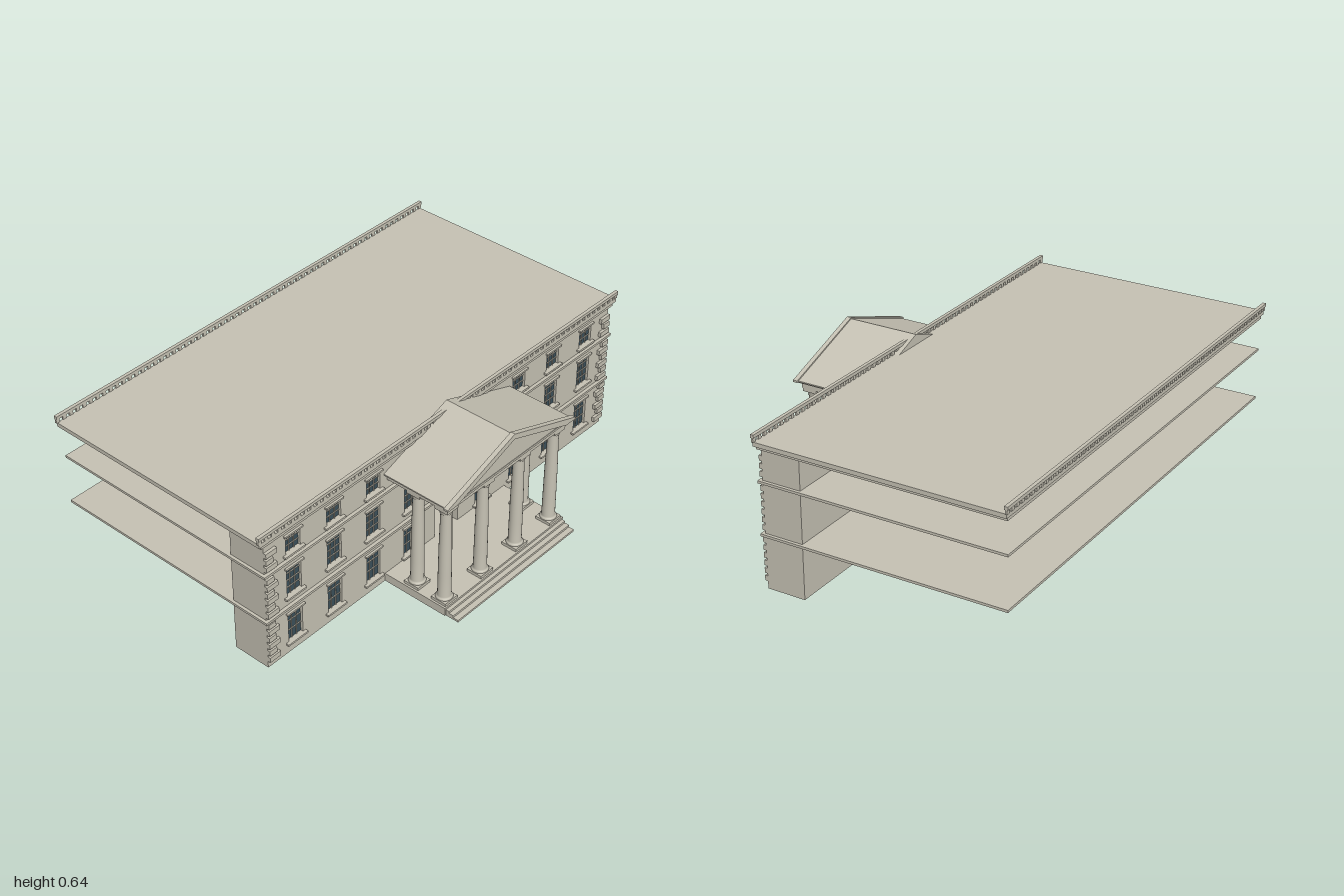
import * as THREE from 'three';

const stone = new THREE.MeshStandardMaterial({ color: 0xc6c2b4 });
stone.name = 'stone';
const glass = new THREE.MeshStandardMaterial({ color: 0x3b505a });
glass.name = 'windowGlass';

const rectPath = (P, x0, x1, y0, y1) => {
  const p = new P();
  p.moveTo(x0, y0); p.lineTo(x1, y0); p.lineTo(x1, y1); p.lineTo(x0, y1); p.closePath();
  return p;
};

export function createModel() {
  const root = new THREE.Group();
  root.name = 'columnedHall';

  const add = (name, geo, mat = stone, parent = root) => {
    const m = new THREE.Mesh(geo, mat);
    m.name = name;
    parent.add(m);
    return m;
  };
  // Box given by its minimum and maximum on each axis
  const box = (name, x0, x1, y0, y1, z0, z1, mat = stone, parent = root) => {
    const m = add(name, new THREE.BoxGeometry(x1 - x0, y1 - y0, z1 - z0), mat, parent);
    m.position.set((x0 + x1) / 2, (y0 + y1) / 2, (z0 + z1) / 2);
    return m;
  };
  const extrude = (name, shape, z0, z1) => {
    const m = add(name, new THREE.ExtrudeGeometry(shape, { depth: z1 - z0, bevelEnabled: false }));
    m.position.z = z0;
    return m;
  };

  // Window grid: nine bays on three floors, with the door in the middle of the lowest
  const HALF = 0.036;
  const floors = [
    { y0: 0.05, y1: 0.18, bars: 3 },
    { y0: 0.262, y1: 0.388, bars: 4 },
    { y0: 0.455, y1: 0.535, bars: 3 },
  ];
  const windows = [];
  floors.forEach((f, row) => {
    for (let i = -4; i <= 4; i++) {
      if (row === 0 && i === 0) continue;
      windows.push({ x: i * 0.2055, ...f });
    }
  });

  // Wall core with the doorway, and the facing with window openings
  const core = rectPath(THREE.Shape, -0.965, 0.965, 0, 0.565);
  core.holes.push(rectPath(THREE.Path, -0.066, 0.066, 0.035, 0.18));
  extrude('wallCore', core, 0.17, 0.315);
  const facing = rectPath(THREE.Shape, -0.965, 0.965, 0, 0.565);
  facing.holes.push(rectPath(THREE.Path, -0.066, 0.066, 0.035, 0.18));
  windows.forEach((w) => facing.holes.push(rectPath(THREE.Path, w.x - HALF, w.x + HALF, w.y0, w.y1)));
  extrude('wallFacing', facing, 0.315, 0.33);

  windows.forEach((w) => {
    const g = new THREE.Group();
    g.name = 'window';
    root.add(g);
    box('pane', w.x - HALF, w.x + HALF, w.y0, w.y1, 0.315, 0.319, glass, g);
    for (let k = 1; k < w.bars; k++) {
      const y = w.y0 + ((w.y1 - w.y0) * k) / w.bars;
      box('crossBar', w.x - HALF, w.x + HALF, y - 0.0015, y + 0.0015, 0.318, 0.323, stone, g);
    }
    for (const s of [-1, 1]) {
      const x = w.x + s * 0.012;
      box('uprightBar', x - 0.0012, x + 0.0012, w.y0, w.y1, 0.318, 0.323, stone, g);
    }
    box('sill', w.x - 0.05, w.x + 0.05, w.y0 - 0.008, w.y0, 0.328, 0.343, stone, g);
    box('lintel', w.x - 0.045, w.x + 0.045, w.y1, w.y1 + 0.007, 0.328, 0.339, stone, g);
  });

  // Corner blocks, alternating long and short
  for (const s of [-1, 1]) {
    for (const [y0, n] of [[0.03, 6], [0.235, 6], [0.446, 3]]) {
      for (let k = 0; k < n; k++) {
        const y = y0 + k * 0.031;
        const w = k % 2 ? 0.036 : 0.054;
        const a = s * 0.965, b = s * (0.965 - w);
        box('cornerBlock', Math.min(a, b), Math.max(a, b), y, y + 0.021, 0.328, 0.342);
      }
    }
  }

  // Floor slabs, with a narrow edge showing around the wall
  for (const y of [0.214, 0.424]) box('floorSlab', -0.977, 0.977, y, y + 0.01, -0.67, 0.344);

  // Roof in two stepped layers
  box('roofCornice', -0.982, 0.982, 0.56, 0.575, -0.67, 0.338);
  box('roofSlab', -0.995, 0.995, 0.575, 0.592, -0.674, 0.343);

  // Balustrades along the front and back edges
  for (const z of [0.34, -0.674]) {
    box('balustradeRail', -1, 1, 0.609, 0.622, z - 0.007, z + 0.007);
    for (let i = 0; i <= 62; i++) {
      const x = -0.992 + i * 0.032;
      box('baluster', x - 0.008, x + 0.008, 0.592, 0.609, z - 0.004, z + 0.004);
    }
  }

  // Porch platform and steps
  box('porchPlatform', -0.347, 0.347, 0, 0.035, 0.325, 0.62);
  [[0.635, 0.027], [0.655, 0.018], [0.678, 0.009]].forEach(([z, h]) =>
    box('step', -0.342, 0.342, 0, h, 0.61, z));

  // Columns: four in front and one behind each outer one
  const profile = [
    [0.031, 0.046], [0.034, 0.05], [0.031, 0.056], [0.026, 0.06], [0.0255, 0.15], [0.0245, 0.28],
    [0.021, 0.44], [0.024, 0.443], [0.022, 0.448], [0.028, 0.462],
  ].map(([r, y]) => new THREE.Vector2(r, y));
  const shaft = new THREE.LatheGeometry(profile, 20);
  const spots = [[-0.305, 0.58], [-0.102, 0.58], [0.102, 0.58], [0.305, 0.58], [-0.305, 0.45], [0.305, 0.45]];
  for (const [x, z] of spots) {
    const g = new THREE.Group();
    g.name = 'column';
    g.position.set(x, 0, z);
    root.add(g);
    add('shaft', shaft, stone, g);
    box('plinth', -0.034, 0.034, 0.035, 0.047, -0.034, 0.034, stone, g);
    box('capital', -0.03, 0.03, 0.46, 0.475, -0.03, 0.03, stone, g);
  }

  // Porch beam and gabled roof
  box('porchBeam', -0.337, 0.337, 0.473, 0.502, 0.325, 0.612);
  box('porchEave', -0.35, 0.35, 0.498, 0.507, 0.325, 0.622);
  const gable = new THREE.Shape();
  gable.moveTo(-0.355, 0.503); gable.lineTo(0.355, 0.503); gable.lineTo(0.355, 0.508);
  gable.lineTo(0, 0.634); gable.lineTo(-0.355, 0.508); gable.closePath();
  extrude('porchRoof', gable, 0.317, 0.62);

  // Raised sloping edge around the gable front
  const rake = new THREE.Shape();
  rake.moveTo(-0.363, 0.503); rake.lineTo(-0.31, 0.503); rake.lineTo(0, 0.616);
  rake.lineTo(0.31, 0.503); rake.lineTo(0.363, 0.503); rake.lineTo(0.363, 0.511);
  rake.lineTo(0, 0.639); rake.lineTo(-0.363, 0.511); rake.closePath();
  extrude('gableEdge', rake, 0.615, 0.634);

  return root;
}
